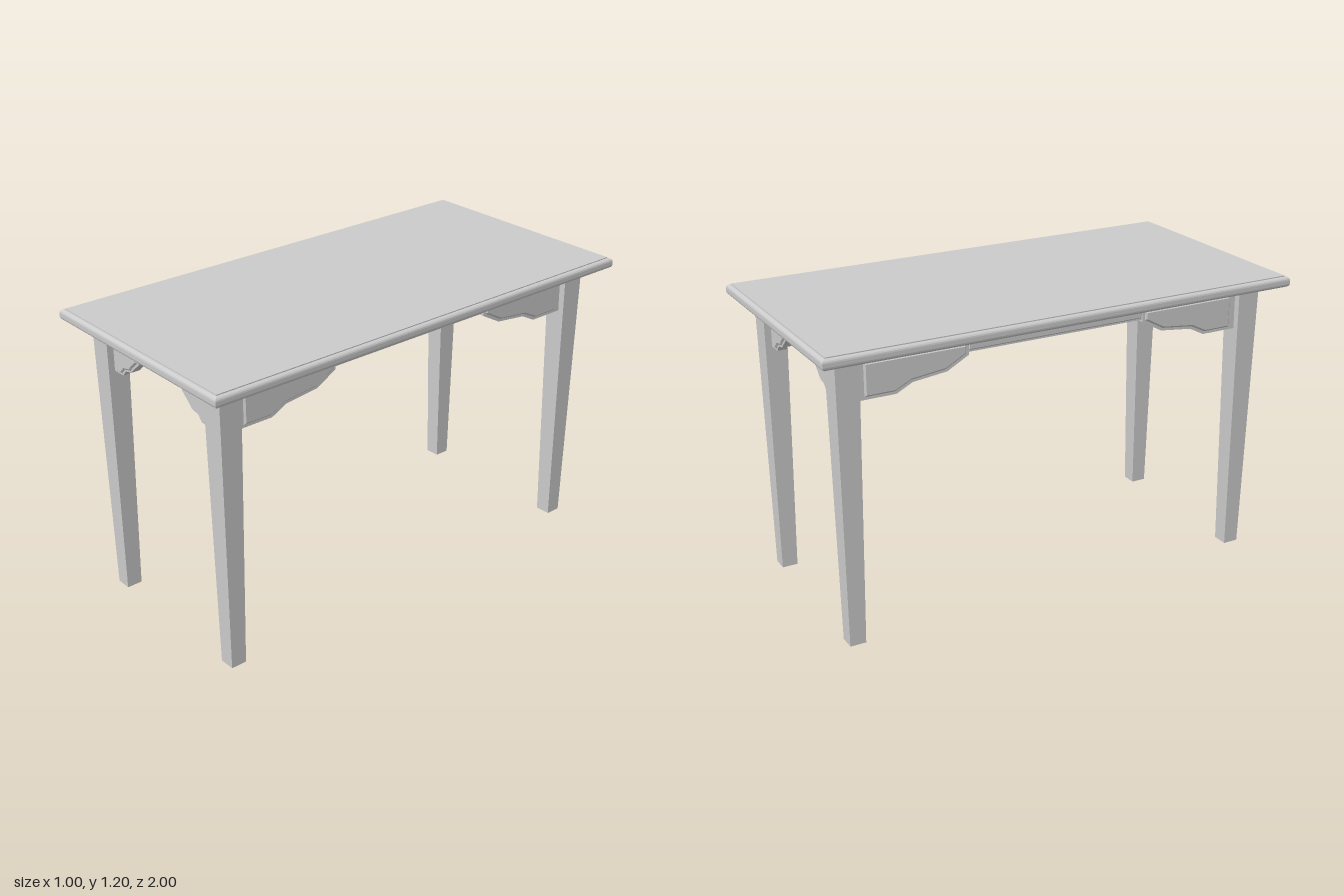
import * as THREE from 'three';

const material = new THREE.MeshStandardMaterial({ color: 0xcccccc });

const LEG_X = 0.3575, LEG_Z = 0.8725, TOP_Y = 1.158;

// Outline extruded along z and centred on z = 0; the bevel stays inside the outline
function slab(points, thickness, bevel = 0, segments = 1) {
  const shape = new THREE.Shape(points.map(([x, y]) => new THREE.Vector2(x, y)));
  const depth = thickness - 2 * bevel;
  const geometry = new THREE.ExtrudeGeometry(shape, {
    depth, bevelEnabled: bevel > 0, bevelThickness: bevel,
    bevelSize: bevel, bevelOffset: -bevel, bevelSegments: segments,
  });
  return geometry.translate(0, 0, -depth / 2);
}

const rect = (x, y0, y1) => [[-x, y0], [x, y0], [x, y1], [-x, y1]];

function add(parent, name, geometry) {
  const mesh = new THREE.Mesh(geometry, material);
  mesh.name = name;
  parent.add(mesh);
  return mesh;
}

// Rail with a stepped bracket at each end, lying along x
function apron(name, { bracket, panel, railHalf, railY }) {
  const group = new THREE.Group();
  group.name = name;
  add(group, 'rail', slab(rect(railHalf + 0.01, ...railY), 0.024));
  add(group, 'railMoulding', slab(rect(railHalf, railY[0] + 0.007, railY[1] - 0.007), 0.036, 0.005));
  for (const s of [-1, 1]) {
    const mirror = (pts) => pts.map(([x, y]) => [s * x, y]);
    add(group, 'bracket', slab(mirror(bracket), 0.038));
    add(group, 'bracketPanel', slab(mirror(panel), 0.052, 0.007));
  }
  return group;
}

const shortApron = {
  bracket: [[0.14, 1.127], [0.312, 1.127], [0.312, 0.98], [0.255, 0.98],
    [0.232, 1.005], [0.195, 1.012], [0.18, 1.028], [0.14, 1.062]],
  panel: [[0.148, 1.098], [0.297, 1.098], [0.297, 0.987], [0.26, 0.987],
    [0.236, 1.012], [0.199, 1.019], [0.185, 1.035], [0.148, 1.067]],
  railHalf: 0.14, railY: [1.068, 1.106],
};

const longApron = {
  bracket: [[0.38, 1.147], [0.828, 1.147], [0.828, 0.977], [0.675, 0.977],
    [0.61, 1.01], [0.47, 1.026], [0.38, 1.075]],
  panel: [[0.392, 1.118], [0.8, 1.118], [0.8, 0.988], [0.68, 0.988],
    [0.615, 1.02], [0.476, 1.036], [0.392, 1.082]],
  railHalf: 0.38, railY: [1.083, 1.126],
};

export function createModel() {
  const table = new THREE.Group();
  table.name = 'table';

  // Top with rounded edges and a thin raised surface
  const outline = [[-0.5, -1], [0.5, -1], [0.5, 1], [-0.5, 1]];
  const top = add(table, 'tableTop', slab(outline, 0.042, 0.014, 4));
  top.rotation.x = -Math.PI / 2;
  top.position.y = TOP_Y + 0.021;
  add(table, 'topSurface', new THREE.BoxGeometry(0.966, 0.008, 1.966)).position.y = 1.2;

  // Tapered square legs
  const legGeometry = new THREE.CylinderGeometry(
    0.0475 * Math.SQRT2, 0.0325 * Math.SQRT2, TOP_Y, 4).toNonIndexed();
  legGeometry.rotateY(Math.PI / 4).computeVertexNormals();
  for (const x of [-1, 1]) for (const z of [-1, 1]) {
    add(table, 'leg', legGeometry).position.set(x * LEG_X, TOP_Y / 2, z * LEG_Z);
  }

  // Aprons between the legs
  for (const s of [-1, 1]) {
    const end = apron('endApron', shortApron);
    end.position.z = s * LEG_Z;
    const side = apron('sideApron', longApron);
    side.position.x = s * LEG_X;
    side.rotation.y = Math.PI / 2;
    table.add(end, side);
  }
  return table;
}
